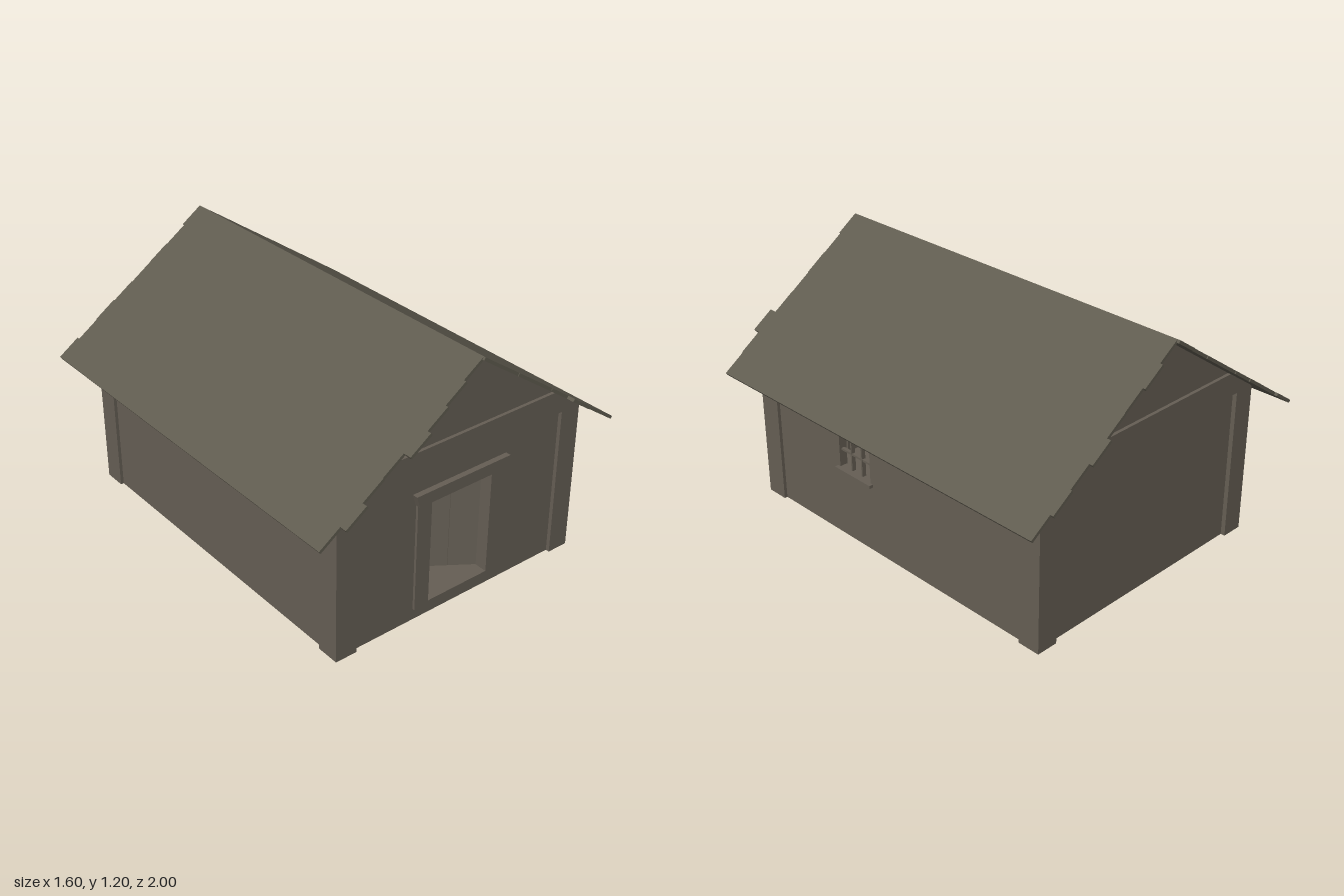
import * as THREE from 'three';

const wood = new THREE.MeshStandardMaterial({ color: 0x655e54 });
wood.name = 'weathered wood';
const roofWood = new THREE.MeshStandardMaterial({ color: 0x5f5b4f });
roofWood.name = 'roof boards';

export function createModel() {
  const root = new THREE.Group();
  root.name = 'woodenCabin';

  const add = (name, geo, mat = wood, parent = root) => {
    const m = new THREE.Mesh(geo, mat);
    m.name = name;
    parent.add(m);
    return m;
  };
  // Box given by its minimum and maximum corners
  const box = (name, x0, x1, y0, y1, z0, z1, parent = root) => {
    const m = add(name, new THREE.BoxGeometry(x1 - x0, y1 - y0, z1 - z0), wood, parent);
    m.position.set((x0 + x1) / 2, (y0 + y1) / 2, (z0 + z1) / 2);
    return m;
  };
  const polygon = (pts) => new THREE.Shape(pts.map(([x, y]) => new THREE.Vector2(x, y)));
  const rect = (x0, x1, y0, y1) => polygon([[x0, y0], [x1, y0], [x1, y1], [x0, y1]]);
  // Flat shape, optionally with one hole, extruded between two depths
  const slab = (name, shape, z0, z1, hole, parent = root) => {
    if (hole) shape.holes.push(hole);
    const geo = new THREE.ExtrudeGeometry(shape, { depth: z1 - z0, bevelEnabled: false });
    geo.translate(0, 0, z0);
    return add(name, geo, wood, parent);
  };

  // Walls: doorway in front, window on the left
  const X = 0.645, Z = 0.862, T = 0.04, TOP = 0.74;
  slab('frontWall', rect(-X, X, 0, TOP), Z - T, Z, rect(-0.165, 0.165, 0.07, 0.572));
  box('backWall', -X, X, 0, TOP, -Z - 0.005, -Z + T);
  box('rightWall', -X, -X + T, 0, TOP, -Z, Z);
  const windowWall = slab('leftWall', rect(-Z, Z, 0, TOP), X - T, X, rect(-0.345, -0.14, 0.345, 0.605));
  windowWall.rotation.y = Math.PI / 2;
  // The floor sits a little above the ground
  box('floor', -X + T, X - T, 0.04, 0.065, -Z + T, Z - T);

  // Corner posts
  for (const sx of [-1, 1]) {
    for (const z0 of [-0.888, 0.77]) {
      const a = sx * 0.555, b = sx * 0.66;
      box('cornerPost', Math.min(a, b), Math.max(a, b), 0, TOP, z0, z0 + 0.11);
    }
  }

  // Gables with a wide tie beam below
  const slope = 0.692, under = 1.183;
  const half = (y) => (under - y) / slope;
  for (const s of [-1, 1]) {
    const span = (z0, z1) => (s > 0 ? [z0, z1] : [-z1, -z0]);
    slab('tieBeam', polygon([[-half(0.74), 0.74], [half(0.74), 0.74], [half(0.85), 0.85], [-half(0.85), 0.85]]),
      ...span(0.83, 0.9));
    slab('gable', polygon([[-half(0.85), 0.85], [half(0.85), 0.85], [0, under]]), ...span(0.83, 0.885));
  }
  slab('ridgeBeam', polygon([[-0.03, 1.162], [0.03, 1.162], [0, under]]), -0.95, 0.94);

  // Roof: long boards with uneven ends, listed from the ridge outwards
  const angle = Math.atan(slope), thick = 0.014;
  const boardWidth = 0.8 / Math.cos(angle) / 8;
  const sides = [
    { s: -1, front: [0.95, 0.962, 0.975, 0.995, 0.957, 0.96, 0.985, 0.952],
      back: [0.99, 0.978, 0.982, 0.98, 0.984, 0.99, 0.985, 1] },
    { s: 1, front: [0.96, 0.952, 0.955, 0.952, 0.954, 0.99, 0.955, 0.95],
      back: [0.976, 0.99, 0.978, 0.98, 1, 0.983, 0.99, 0.975] },
  ];
  for (const { s, front, back } of sides) {
    const roof = new THREE.Group();
    roof.name = s > 0 ? 'leftRoof' : 'rightRoof';
    root.add(roof);
    for (let i = 0; i < 8; i++) {
      const d = (i + 0.5) * boardWidth;
      const board = add('roofBoard', new THREE.BoxGeometry(boardWidth, thick, front[i] + back[i]), roofWood, roof);
      board.position.set(
        s * (d * Math.cos(angle) - (thick / 2) * Math.sin(angle)),
        1.2 - d * Math.sin(angle) - (thick / 2) * Math.cos(angle),
        (front[i] - back[i]) / 2);
      board.rotation.z = -s * angle;
    }
  }

  // Door frame and flared lintel
  slab('doorFrame', rect(-0.24, 0.237, 0.055, 0.575), 0.81, 0.874, rect(-0.165, 0.165, 0.07, 0.572));
  slab('doorLintel', polygon([[-0.243, 0.575], [0.238, 0.575], [0.253, 0.63], [-0.26, 0.63]]), 0.85, 0.888);

  // Door, standing ajar into the room
  const door = new THREE.Group();
  door.name = 'door';
  door.position.set(0.163, 0, 0.815);
  door.rotation.y = -0.6;
  root.add(door);
  let x = 0;
  for (const w of [0.125, 0.155, 0.05]) {
    box('doorPlank', -x - w + 0.002, -x, 0.073, 0.57, -0.02, 0, door);
    x += w;
  }
  for (const y of [0.15, 0.44]) box('doorBrace', -0.32, -0.01, y, y + 0.05, -0.035, -0.018, door);
  box('doorHandle', -0.318, -0.302, 0.31, 0.39, 0.016, 0.026, door);
  for (const y of [0.313, 0.375]) box('handleMount', -0.316, -0.304, y, y + 0.012, -0.002, 0.018, door);

  // Window bars and sill
  for (const z of [0.208, 0.277]) box('windowBar', 0.615, 0.635, 0.345, 0.605, z - 0.004, z + 0.004);
  for (const y of [0.43, 0.518]) box('windowBar', 0.617, 0.633, y - 0.005, y + 0.005, 0.14, 0.345);
  box('windowSill', 0.61, 0.664, 0.332, 0.347, 0.125, 0.36);

  return root;
}
